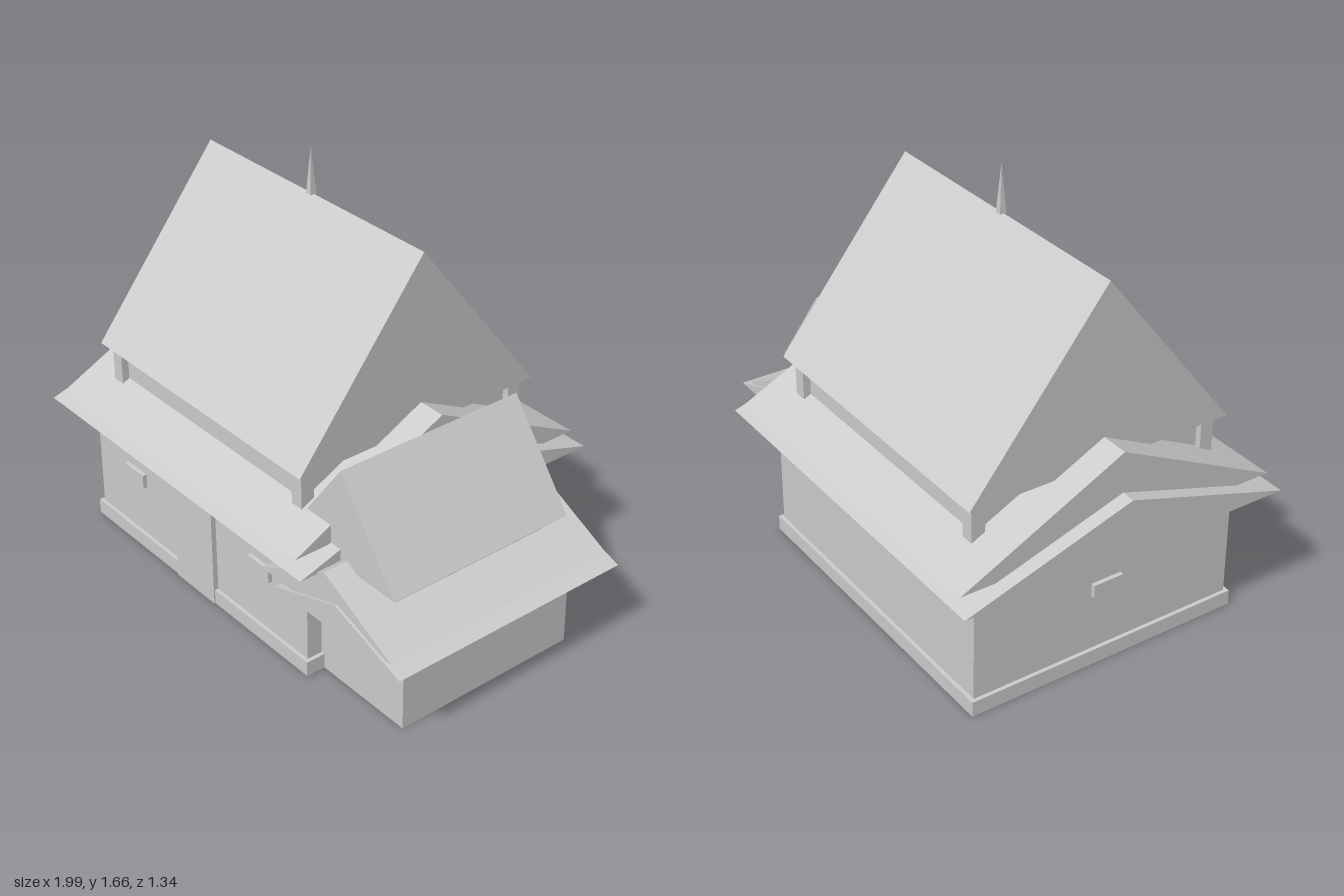
import * as THREE from 'three';

const grey = new THREE.MeshStandardMaterial({ color: 0xcccccc });
grey.name = 'plain grey';

// Box given by its min and max on each axis
function box(name, [x0, x1], [y0, y1], [z0, z1]) {
  const g = new THREE.BoxGeometry(x1 - x0, y1 - y0, z1 - z0);
  g.translate((x0 + x1) / 2, (y0 + y1) / 2, (z0 + z1) / 2);
  const m = new THREE.Mesh(g, grey);
  m.name = name;
  return m;
}

// Solid triangular roof; the ridge runs along 'x' or 'z' from start to end
function gable(name, axis, centre, half, eave, ridge, start, end) {
  const s = new THREE.Shape();
  s.moveTo(-half, eave);
  s.lineTo(half, eave);
  s.lineTo(0, ridge);
  s.closePath();
  const g = new THREE.ExtrudeGeometry(s, { depth: end - start, bevelEnabled: false });
  g.translate(0, 0, start);
  if (axis === 'x') g.rotateY(Math.PI / 2).translate(0, 0, centre);
  else g.translate(centre, 0, 0);
  const m = new THREE.Mesh(g, grey);
  m.name = name;
  return m;
}

export function createModel() {
  const model = new THREE.Group();
  model.name = 'house';

  // Main hall
  const hall = new THREE.Group();
  hall.name = 'mainHall';
  hall.add(
    box('hallWalls', [-0.875, 0.43], [0, 0.53], [-0.55, 0.55]),
    box('plinth', [-0.89, 0.445], [0, 0.06], [-0.565, 0.565]),
    box('door', [-0.343, -0.108], [0, 0.47], [0.5, 0.57]),
    box('doorLintel', [-0.37, -0.08], [0.478, 0.505], [0.5, 0.57]),
    gable('lowerRoof', 'x', 0, 0.67, 0.52, 0.73, -1, 0.55),
    gable('middleRoof', 'x', 0, 0.65, 0.57, 0.89, -0.945, 0.497),
    box('upperWalls', [-0.775, 0.327], [0.55, 0.81], [-0.48, 0.48]),
    gable('upperRoof', 'x', 0, 0.54, 0.79, 1.475, -0.833, 0.386)
  );

  // Windows on the front and the right-hand end
  for (const x of [-0.618, 0.168]) {
    hall.add(box('frontWindow', [x - 0.062, x + 0.062], [0.283, 0.34], [0.5, 0.567]));
  }
  hall.add(box('sideWindow', [-0.892, -0.84], [0.287, 0.34], [-0.062, 0.062]));

  // Corner posts under the upper roof
  for (const x of [-0.773, 0.327]) {
    for (const z of [-0.482, 0.482]) {
      hall.add(box('cornerPost', [x - 0.027, x + 0.027], [0.6, 0.82], [z - 0.027, z + 0.027]));
    }
  }

  // Four-sided spike on the ridge
  const spike = new THREE.Mesh(
    new THREE.ConeGeometry(0.0185, 0.185, 4).toNonIndexed().rotateY(Math.PI / 4), grey);
  spike.geometry.computeVertexNormals();
  spike.position.set(-0.223, 1.5645, 0);
  spike.name = 'ridgeSpike';
  hall.add(spike);

  // Side wing with its own three-tier roof
  const wing = new THREE.Group();
  wing.name = 'sideWing';
  wing.add(
    box('wingWalls', [0.4, 0.872], [0, 0.35], [-0.285, 0.487]),
    gable('wingLowerRoof', 'z', 0.655, 0.335, 0.34, 0.452, -0.413, 0.607),
    gable('wingMiddleRoof', 'z', 0.585, 0.352, 0.37, 0.545, -0.402, 0.597),
    box('wingUpperWalls', [0.33, 0.77], [0.4, 0.53], [-0.24, 0.437]),
    gable('wingUpperRoof', 'z', 0.55, 0.28, 0.515, 0.89, -0.302, 0.496)
  );

  model.add(hall, wing);
  return model;
}
